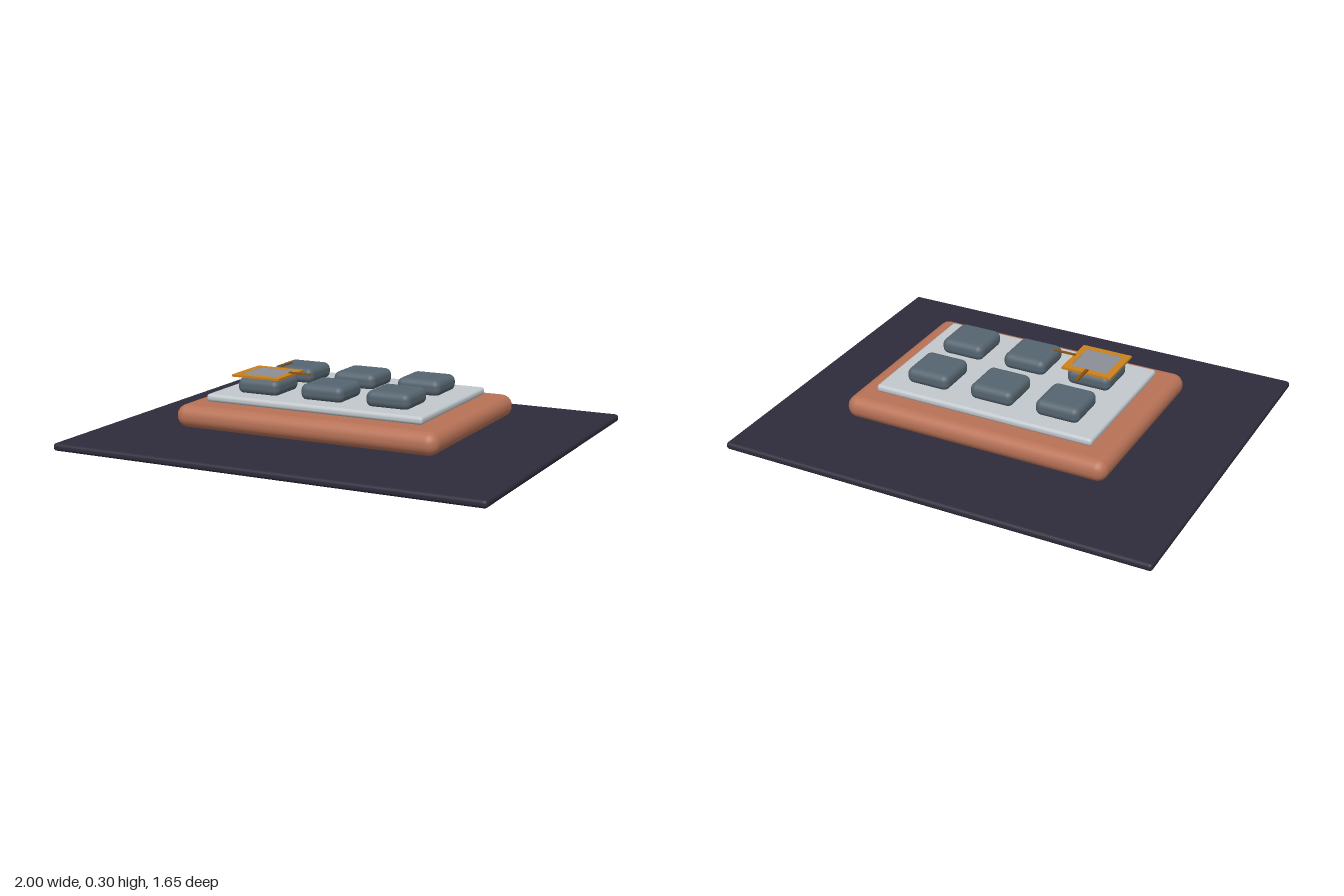
import * as THREE from 'three';
import { RoundedBoxGeometry } from 'three/addons/geometries/RoundedBoxGeometry.js';

const mat = (name, color) => {
  const m = new THREE.MeshStandardMaterial({ color });
  m.name = name;
  return m;
};

export function createModel() {
  const model = new THREE.Group();
  model.name = 'keypad';

  const navy = mat('dark navy', 0x2e2c3b);
  const copper = mat('copper', 0xb87257);
  const silver = mat('pale silver', 0xc2c8cd);
  const slate = mat('slate', 0x566570);
  const orange = mat('orange', 0xcc811f);
  const brown = mat('brown', 0x8a5312);
  const grey = mat('grey', 0x8b8f96);

  const add = (name, geometry, material, x, y, z) => {
    const mesh = new THREE.Mesh(geometry, material);
    mesh.name = name;
    mesh.position.set(x, y, z);
    model.add(mesh);
    return mesh;
  };
  // Rounded slab between two heights
  const slab = (name, w, d, y0, y1, r, material, x = 0, z = 0) =>
    add(name, new RoundedBoxGeometry(w, y1 - y0, d, 4, r), material, x, (y0 + y1) / 2, z);
  const box = (name, w, d, y0, y1, material, x, z) =>
    add(name, new THREE.BoxGeometry(w, y1 - y0, d), material, x, (y0 + y1) / 2, z);

  // Stacked plates
  slab('groundPlate', 2, 1.65, 0, 0.034, 0.015, navy);
  slab('body', 1.25, 0.9, 0.064, 0.166, 0.049, copper);
  slab('facePlate', 1.04, 0.695, 0.171, 0.206, 0.015, silver);

  // Two rows of three keys on short stems
  const pitch = 0.314, rowZ = [-0.16, 0.154];
  for (const z of rowZ) {
    for (let i = -1; i <= 1; i++) {
      slab('key', 0.206, 0.206, 0.2, 0.273, 0.03, slate, i * pitch, z);
      box('keyStem', 0.14, 0.14, 0.16, 0.205, slate, i * pitch, z);
    }
  }

  // Selection frame over the front right-hand key
  const fx = -pitch, fz = rowZ[1], outer = 0.117, inner = 0.086;
  const square = (path, s) =>
    path.moveTo(-s, -s).lineTo(s, -s).lineTo(s, s).lineTo(-s, s).closePath();
  const shape = square(new THREE.Shape(), outer);
  shape.holes.push(square(new THREE.Path(), inner));
  const frame = new THREE.ExtrudeGeometry(shape, { depth: 0.01, bevelEnabled: false });
  frame.rotateX(-Math.PI / 2);
  add('selectionFrame', frame, orange, fx, 0.278, fz);
  box('selectionPanel', inner * 2, inner * 2, 0.279, 0.287, grey, fx, fz);

  // Thin pointers towards the neighbouring keys
  box('backPointer', 0.013, 0.108, 0.292, 0.299, brown, fx, -0.004);
  box('sidePointer', 0.105, 0.01, 0.292, 0.299, brown, -0.157, fz);

  return model;
}
